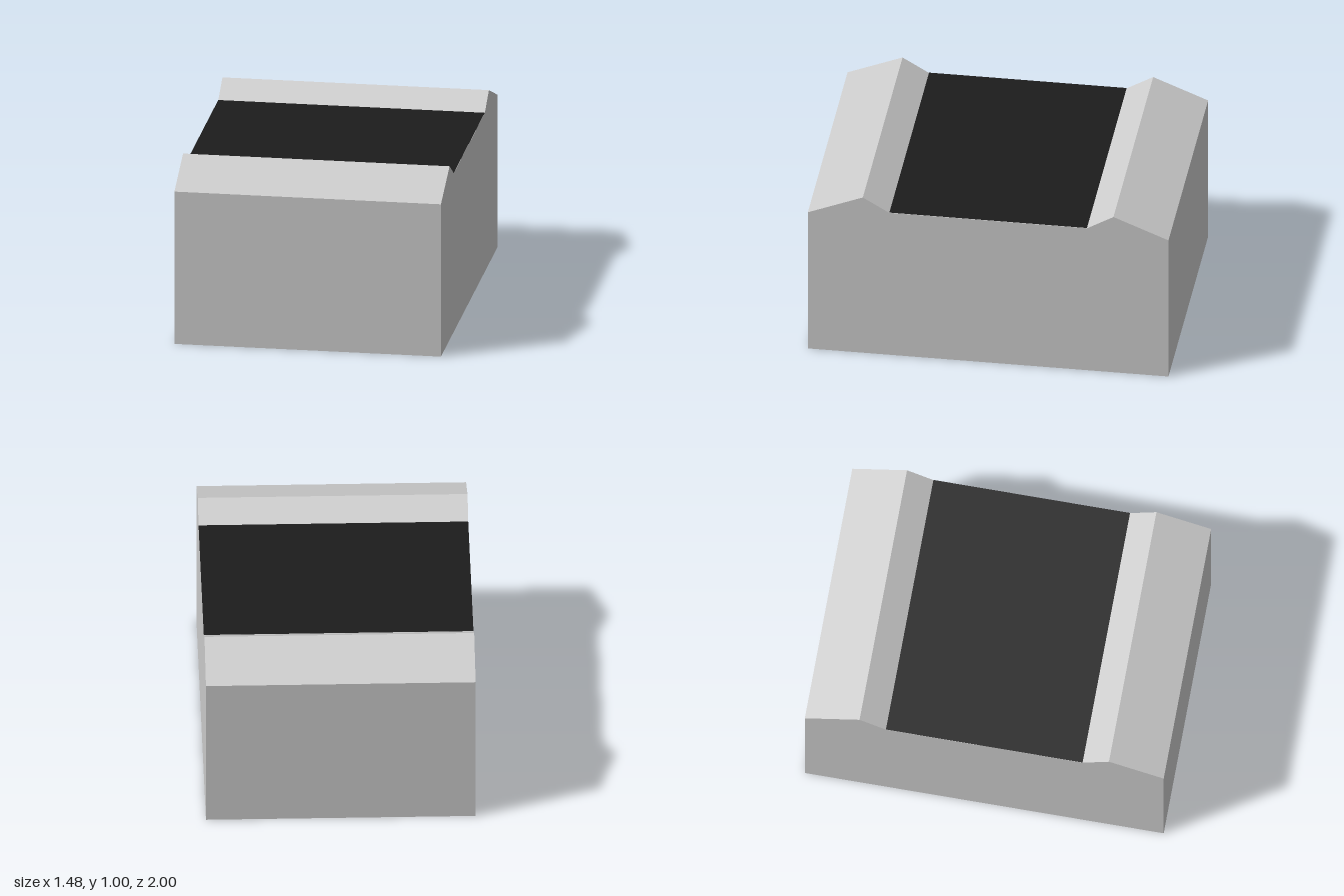
import * as THREE from 'three';

export function createModel() {
  const model = new THREE.Group();
  model.name = 'ridgedBlock';
  const width = 1.48;
  const deckY = 0.914;
  const deckHalf = 0.548;

  // Half of the side profile (z, y), from the base to the deck edge; mirrored for the back
  const half = [[1, 0], [1, 0.877], [0.695, 1], [deckHalf, deckY]];
  const outline = [...half, ...half.map(([z, y]) => [-z, y]).reverse()];
  const profile = new THREE.Shape(outline.map(([z, y]) => new THREE.Vector2(z, y)));

  // Solid body with a ridge at the front and back
  const bodyGeometry = new THREE.ExtrudeGeometry(profile, { depth: width, bevelEnabled: false });
  bodyGeometry.translate(0, 0, -width / 2).rotateY(-Math.PI / 2);
  const body = new THREE.Mesh(
    bodyGeometry,
    new THREE.MeshStandardMaterial({ color: 0xcccccc, flatShading: true })
  );
  body.name = 'body';
  model.add(body);

  // Dark panel lying on the flat deck between the ridges
  const panel = new THREE.Mesh(
    new THREE.PlaneGeometry(width, deckHalf * 2).rotateX(-Math.PI / 2),
    new THREE.MeshStandardMaterial({ color: 0x1c1c1c })
  );
  panel.name = 'topPanel';
  panel.position.y = deckY + 0.002;
  model.add(panel);

  return model;
}
